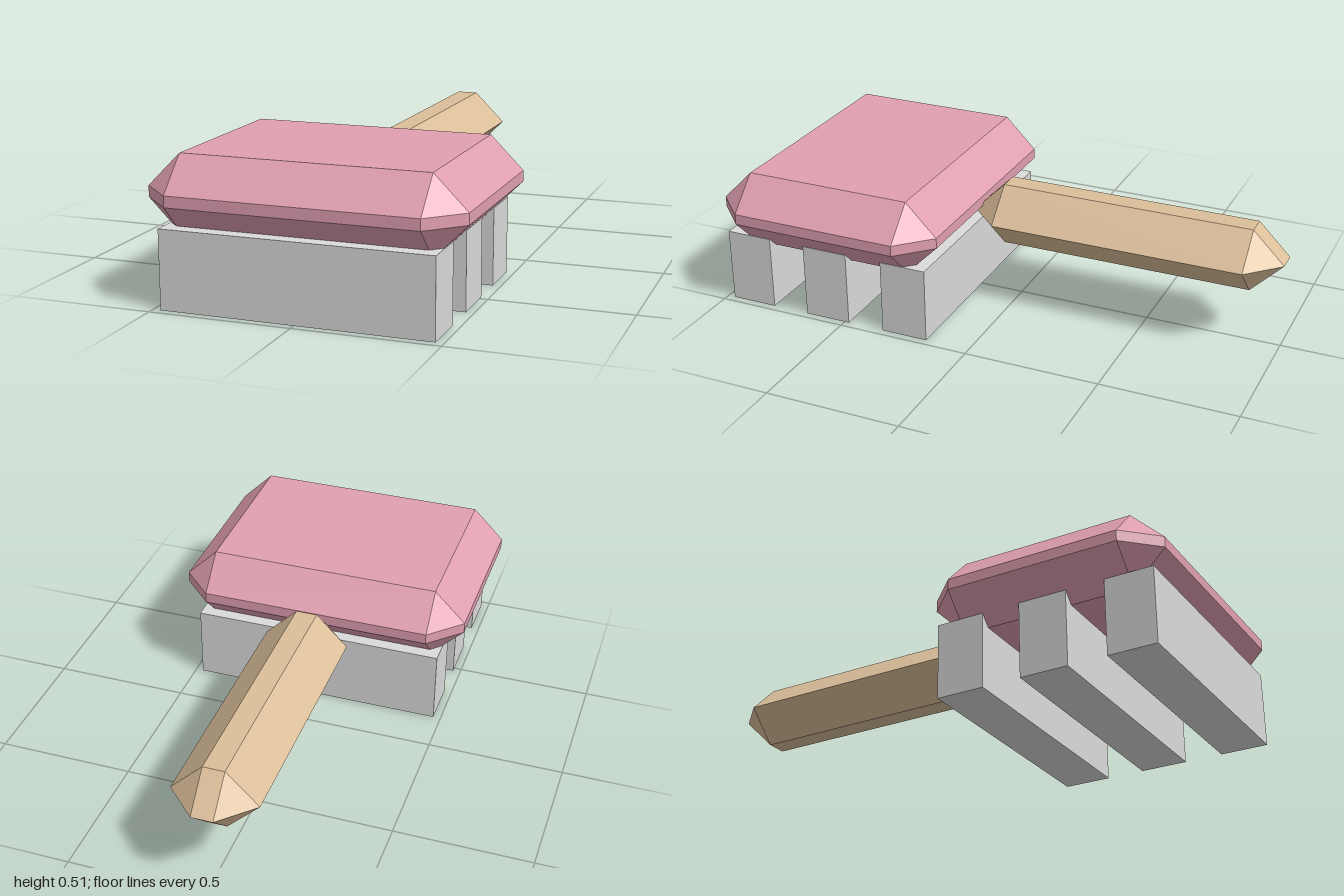
import * as THREE from 'three';
import { ConvexGeometry } from 'three/addons/geometries/ConvexGeometry.js';

// Box with every edge cut at 45 degrees: the hull of its six inset faces
function chamferedBox(w, h, d, c) {
  const half = [w / 2, h / 2, d / 2];
  const points = new Map();
  for (let axis = 0; axis < 3; axis++) {
    for (const sx of [-1, 1]) for (const sy of [-1, 1]) for (const sz of [-1, 1]) {
      const p = [sx, sy, sz].map((s, i) => s * (half[i] - (i === axis ? 0 : c)));
      points.set(p.map((v) => (v + 0).toFixed(4).replace('-0.0000', '0.0000')).join(), new THREE.Vector3(...p));
    }
  }
  return new ConvexGeometry([...points.values()]);
}

function material(name, color) {
  const m = new THREE.MeshStandardMaterial({ color });
  m.name = name;
  return m;
}

export function createModel() {
  const group = new THREE.Group();
  const pink = material('pink', 0xe09fb1);
  const wood = material('light wood', 0xdcbf9a);
  const grey = material('light grey', 0xdadada);

  const add = (name, geometry, mat, x, y, z) => {
    const mesh = new THREE.Mesh(geometry, mat);
    mesh.name = name;
    mesh.position.set(x, y, z);
    group.add(mesh);
  };

  // Brush back
  add('brushHead', chamferedBox(1.098, 0.273, 0.864, 0.117), pink, 0, 0.374, 0.568);

  // Handle, its sides meeting in a ridge
  add('handle', chamferedBox(0.312, 0.234, 1.17, 0.117), wood, 0, 0.334, -0.415);

  // Three rows of bristles
  const row = new THREE.BoxGeometry(0.944, 0.275, 0.175);
  [0.885, 0.57, 0.255].forEach((z, i) => add(`bristleRow${i + 1}`, row, grey, 0, 0.1375, z));

  return group;
}
